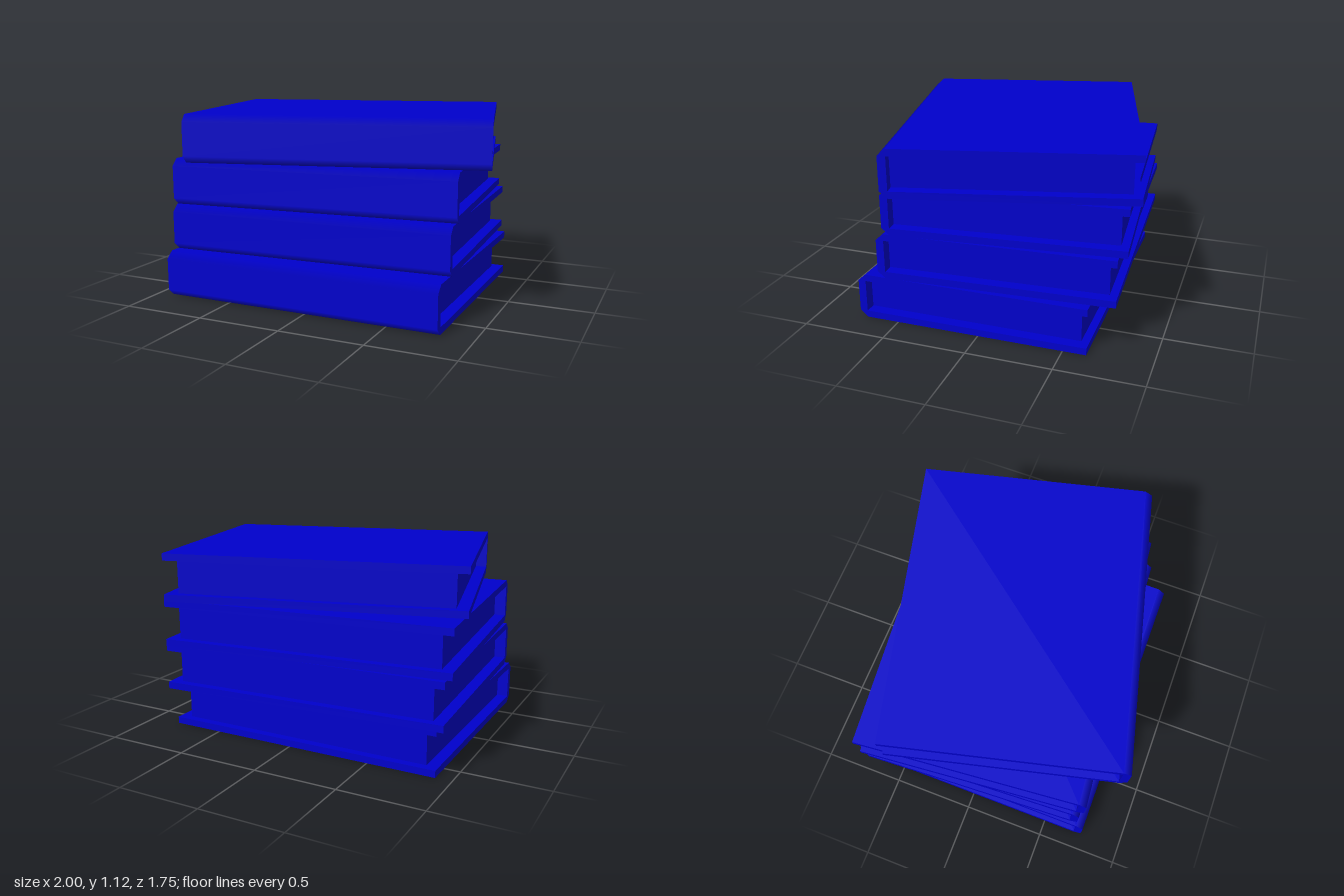
import * as THREE from 'three';

const W = 1.714, D = 1.38, H = 0.276; // book length along the spine, depth, height
const T = 0.041, S = 0.046;           // board and spine thickness
const PITCH = 0.2815;

// C-shaped cover, extruded along the spine, with chamfered spine edges
function coverGeometry() {
  const b = -D / 2, f = D / 2;
  const shape = new THREE.Shape([
    [b, 0], [f - S, 0], [f, T], [f, H - T], [f - S, H], [b, H],
    [b, H - T], [f - S, H - T], [f - S, T], [b, T],
  ].map(([z, y]) => new THREE.Vector2(z, y)));
  const geo = new THREE.ExtrudeGeometry(shape, { depth: W, bevelEnabled: false });
  geo.translate(0, 0, -W / 2);
  geo.rotateY(-Math.PI / 2);

  // Blend the chamfer normals between board and spine so the edge reads as rounded
  const pos = geo.attributes.position, nor = geo.attributes.normal;
  for (let i = 0; i < pos.count; i++) {
    if (Math.abs(nor.getY(i)) < 0.1 || nor.getZ(i) < 0.1) continue;
    if (pos.getZ(i) > f - S / 2) nor.setXYZ(i, 0, 0, 1);
    else nor.setXYZ(i, 0, Math.sign(nor.getY(i)), 0);
  }
  return geo;
}

// Page block, set in from the boards on three sides
function pagesGeometry() {
  const geo = new THREE.BoxGeometry(W - 0.138, H - 2 * T, D - 2 * S);
  geo.translate(0, H / 2, 0);
  return geo;
}

export function createModel() {
  const group = new THREE.Group();
  group.name = 'bookStack';
  const material = new THREE.MeshStandardMaterial({ color: 0x0000cc });
  const coverGeo = coverGeometry(), pagesGeo = pagesGeometry();

  // Each book: centre x, centre z, turn in degrees, from the bottom up
  const books = [
    [-0.048, 0.055, 0],
    [-0.067, -0.04, 3.05],
    [-0.075, -0.055, 5.3],
    [0, 0, 13.9],
  ];
  books.forEach(([x, z, turn], i) => {
    const book = new THREE.Group();
    book.name = `book${i + 1}`;
    const cover = new THREE.Mesh(coverGeo, material);
    cover.name = 'cover';
    const pages = new THREE.Mesh(pagesGeo, material);
    pages.name = 'pages';
    book.add(cover, pages);
    book.position.set(x, i * PITCH, z);
    book.rotation.y = THREE.MathUtils.degToRad(turn);
    group.add(book);
  });
  return group;
}
